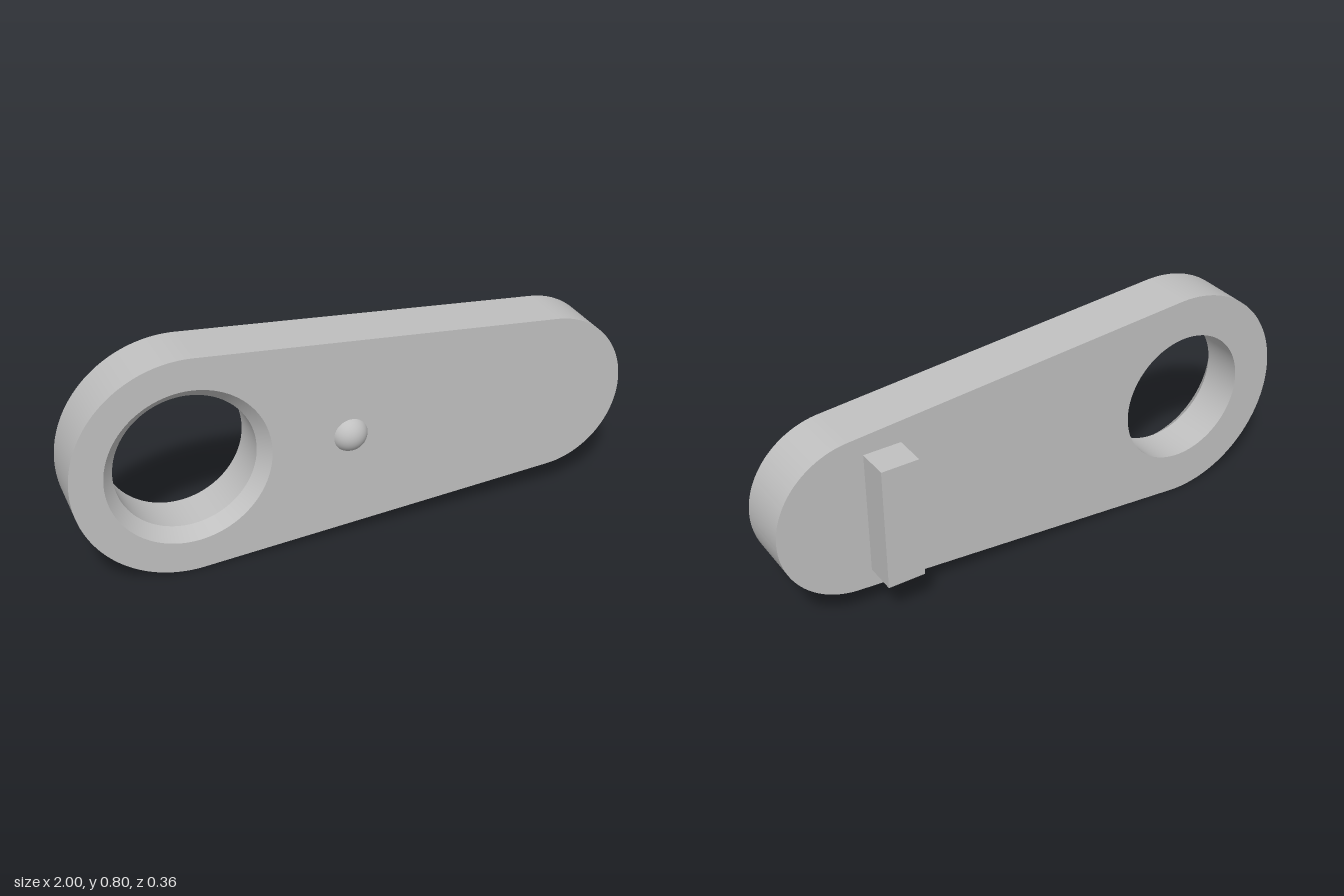
import * as THREE from 'three';
import { toCreasedNormals } from 'three/addons/utils/BufferGeometryUtils.js';

const BACK = -0.062, FRONT = 0.138, MID_Y = 0.399;
const BIG = { x: -0.602, r: 0.398 }, SMALL = { x: 0.708, r: 0.292 };
const BORE = 0.245, RIM = 0.285, CHAMFER = 0.045;

export function createModel() {
  const group = new THREE.Group();
  const grey = new THREE.MeshStandardMaterial({ color: 0xc0c0c0 });
  grey.name = 'light grey';

  function add(name, geometry, x, y, z) {
    const mesh = new THREE.Mesh(geometry, grey);
    mesh.name = name;
    mesh.position.set(x, y, z);
    group.add(mesh);
  }

  // Lever plate: two round ends joined by their common tangents
  const tangent = Math.acos((BIG.r - SMALL.r) / (SMALL.x - BIG.x));
  const outline = new THREE.Shape();
  outline.absarc(SMALL.x, MID_Y, SMALL.r, -tangent, tangent, false);
  outline.absarc(BIG.x, MID_Y, BIG.r, tangent, 2 * Math.PI - tangent, false);
  outline.closePath();
  const hole = new THREE.Path();
  hole.absarc(BIG.x, MID_Y, RIM, 0, 2 * Math.PI, true);
  outline.holes.push(hole);
  const plate = new THREE.ExtrudeGeometry(outline, {
    depth: FRONT - BACK, bevelEnabled: false, curveSegments: 48,
  });
  add('leverPlate', toCreasedNormals(plate, 0.4), 0, 0, BACK);

  // Bore lining, with a chamfered front edge
  const profile = [
    [RIM, FRONT], [BORE, FRONT - CHAMFER], [BORE, BACK], [RIM, BACK],
  ].map(([r, z]) => new THREE.Vector2(r, z));
  const bore = new THREE.LatheGeometry(profile, 96).rotateX(Math.PI / 2);
  add('chamferedBore', toCreasedNormals(bore, 0.4), BIG.x, MID_Y, 0);

  // Domed button on the front
  const domeR = 0.067, domeTop = 0.177;
  const dome = new THREE.SphereGeometry(domeR, 40, 16, 0, 2 * Math.PI, 0, 1.2).rotateX(Math.PI / 2);
  add('domeButton', dome, -0.037, MID_Y, domeTop - domeR);

  // Upright bar on the back
  const barDepth = 0.116;
  add('rearBar', new THREE.BoxGeometry(0.135, 0.454, barDepth), 0.612, MID_Y, BACK - barDepth / 2);

  return group;
}
